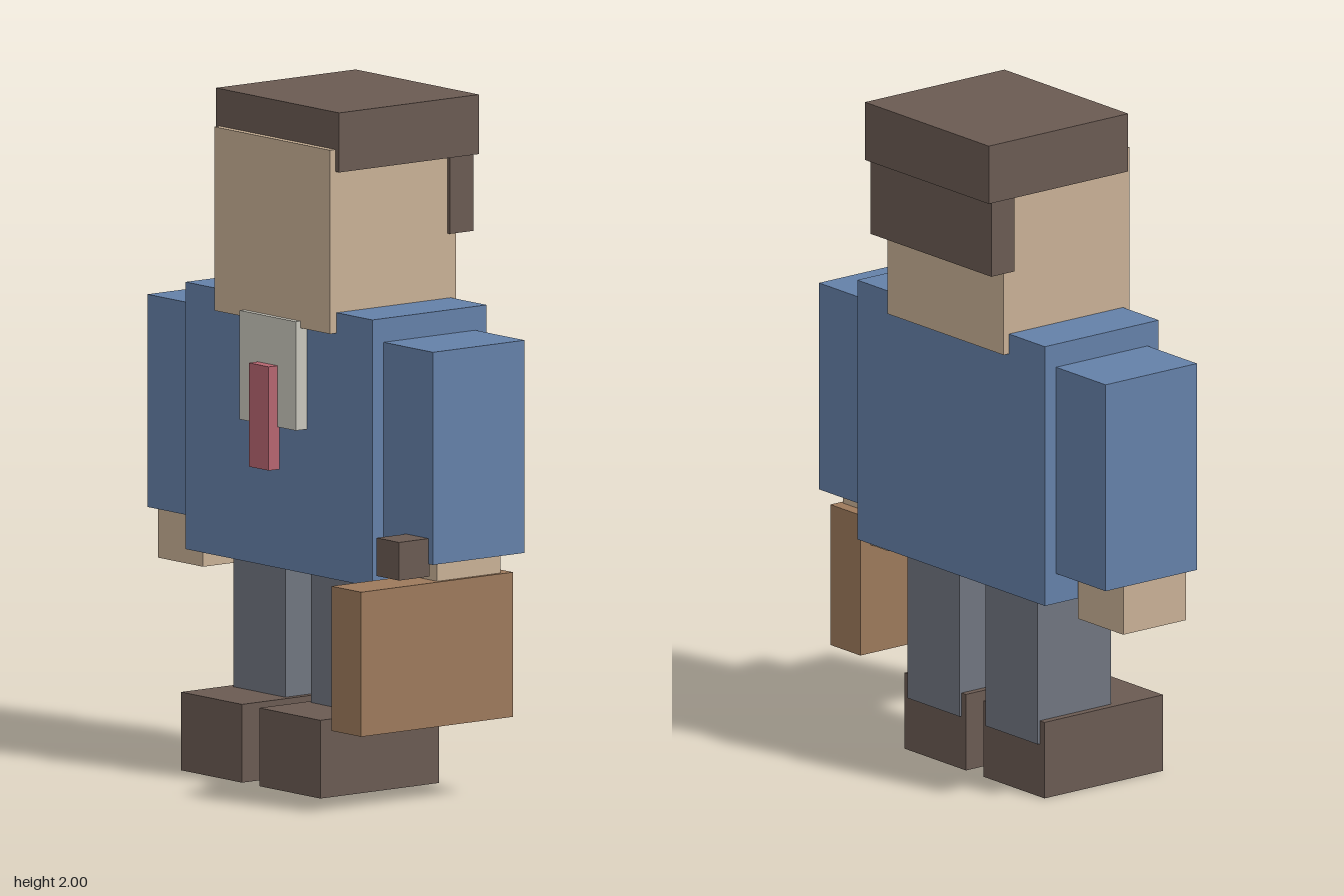
import * as THREE from 'three';

const mat = (name, color) => {
  const m = new THREE.MeshStandardMaterial({ color });
  m.name = name;
  return m;
};

export function createModel() {
  const model = new THREE.Group();
  model.name = 'blockyBusinessman';

  const blue = mat('jacketBlue', 0x6480a8);
  const skin = mat('skin', 0xc8b095);
  const brown = mat('darkBrown', 0x6a5a52);
  const grey = mat('trouserGrey', 0x70757f);
  const white = mat('shirtWhite', 0xc8c6bb);
  const red = mat('tieRed', 0xb5656f);
  const tan = mat('caseBrown', 0x9c795b);

  // Box given by its extents on each axis
  const box = (name, material, [x0, x1], [y0, y1], [z0, z1]) => {
    const mesh = new THREE.Mesh(new THREE.BoxGeometry(x1 - x0, y1 - y0, z1 - z0), material);
    mesh.position.set((x0 + x1) / 2, (y0 + y1) / 2, (z0 + z1) / 2);
    mesh.name = name;
    model.add(mesh);
  };

  // Mirrored pair of boxes; extents are for the left (+x) side
  const pair = (name, material, [x0, x1], y, z) => {
    box('left' + name, material, [x0, x1], y, z);
    box('right' + name, material, [-x1, -x0], y, z);
  };

  // Head and hair
  box('head', skin, [-0.267, 0.267], [1.35, 1.89], [-0.3, 0.17]);
  box('hairTop', brown, [-0.285, 0.285], [1.825, 2], [-0.37, 0.15]);
  box('hairBack', brown, [-0.278, 0.278], [1.6, 1.83], [-0.355, -0.268]);

  // Torso, shirt front and tie
  box('jacket', blue, [-0.432, 0.432], [0.625, 1.41], [-0.28, 0.145]);
  box('shirtFront', white, [-0.13, 0.13], [1.05, 1.37], [0.14, 0.187]);
  box('tie', red, [-0.046, 0.046], [0.925, 1.23], [0.18, 0.22]);

  // Limbs
  pair('Sleeve', blue, [0.43, 0.66], [0.715, 1.34], [-0.238, 0.103]);
  pair('Hand', skin, [0.437, 0.645], [0.565, 0.72], [-0.16, 0.075]);
  pair('Leg', grey, [0.06, 0.3], [0.16, 0.63], [-0.2, 0.073]);
  pair('Shoe', brown, [0.04, 0.322], [0, 0.23], [-0.192, 0.25]);

  // Briefcase carried on the left
  box('briefcase', tan, [0.519, 0.657], [0.237, 0.662], [-0.198, 0.368]);
  box('briefcaseHandle', brown, [0.536, 0.64], [0.678, 0.79], [0.1, 0.213]);

  return model;
}
